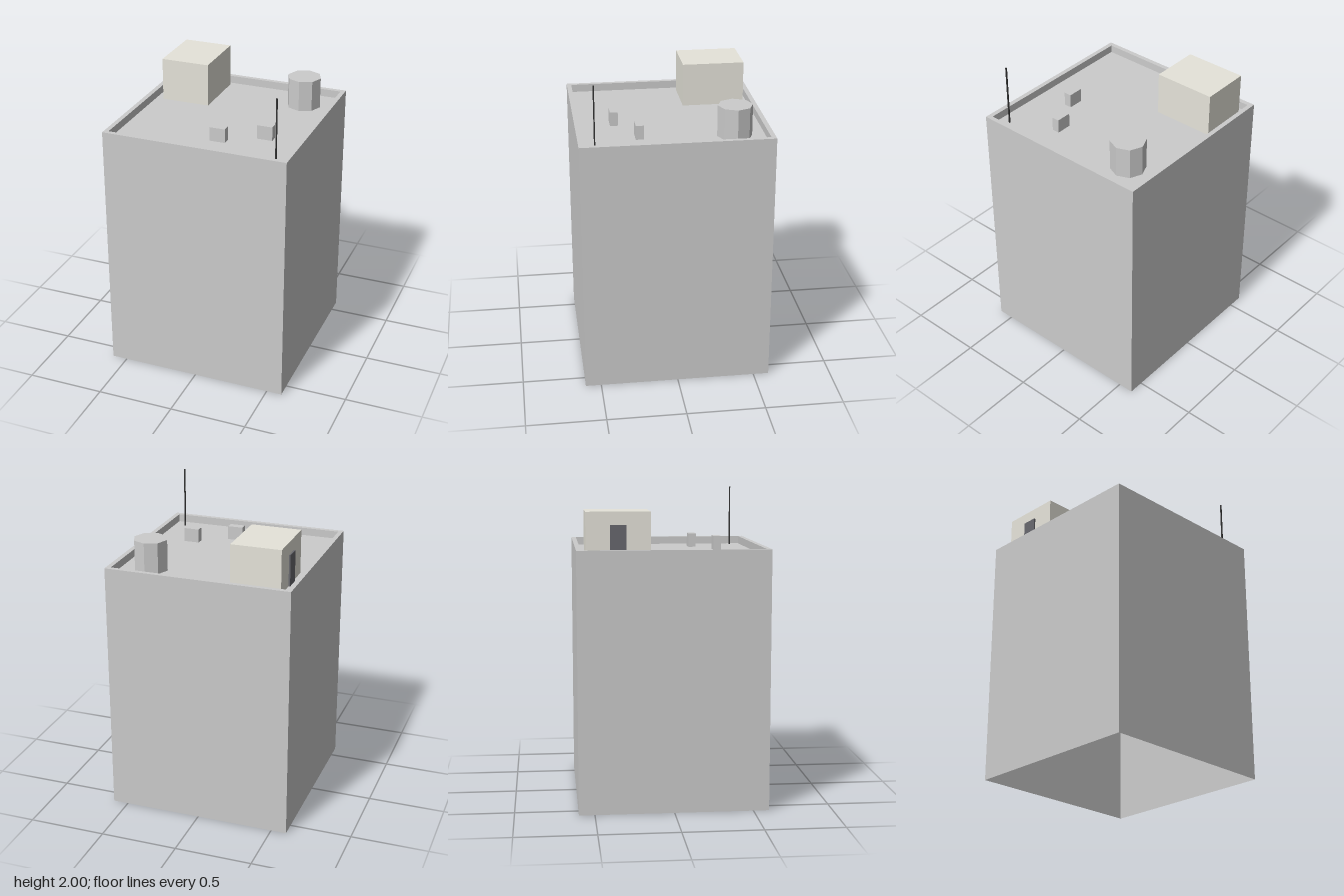
import * as THREE from 'three';

const material = (color, side = THREE.FrontSide) =>
  new THREE.MeshStandardMaterial({ color, side, flatShading: true });

export function createModel() {
  const model = new THREE.Group();
  const grey = material(0xcccccc);
  const greyOpen = material(0xcccccc, THREE.DoubleSide);
  const beige = material(0xe6e4da);
  const doorDark = material(0x68686e);
  const mastDark = material(0x333333);

  const half = 0.6, top = 1.65, deck = 1.6, inner = 0.57;

  function add(name, geometry, mat, x, y, z) {
    const mesh = new THREE.Mesh(geometry, mat);
    mesh.name = name;
    mesh.position.set(x, y, z);
    model.add(mesh);
    return mesh;
  }

  // A box standing on the roof deck
  const onDeck = (name, w, h, d, mat, x, z) =>
    add(name, new THREE.BoxGeometry(w, h, d), mat, x, deck + h / 2, z);

  // Square shell, open below: outer walls, parapet rim and parapet inside
  const profile = [[half, 0], [half, top], [inner, top], [inner, deck]]
    .map(([r, y]) => new THREE.Vector2(r * Math.SQRT2, y));
  const shell = new THREE.LatheGeometry(profile, 4, Math.PI / 4).toNonIndexed();
  shell.computeVertexNormals();
  add('wallsAndParapet', shell, greyOpen, 0, 0, 0);

  // Roof deck inside the parapet
  const roof = new THREE.PlaneGeometry(inner * 2, inner * 2).rotateX(-Math.PI / 2);
  add('roofDeck', roof, greyOpen, 0, deck, 0);

  // Stair house with its door on the right-hand side
  onDeck('stairHouse', 0.32, 0.28, 0.4, beige, -0.36, -0.34);
  onDeck('stairHouseDoor', 0.01, 0.2, 0.1, doorDark, -0.525, -0.34);

  // Eight-sided water tank
  add('waterTank', new THREE.CylinderGeometry(0.11, 0.11, 0.2, 8), grey, 0.38, deck + 0.1, -0.38);

  // Air conditioning units
  for (const [x, z] of [[0.07, 0.345], [0.33, 0.21]])
    onDeck('airConditioner', 0.1, 0.09, 0.05, grey, x, z);

  // Antenna mast
  onDeck('antenna', 0.008, 0.4, 0.008, mastDark, 0.497, 0.497);

  return model;
}
